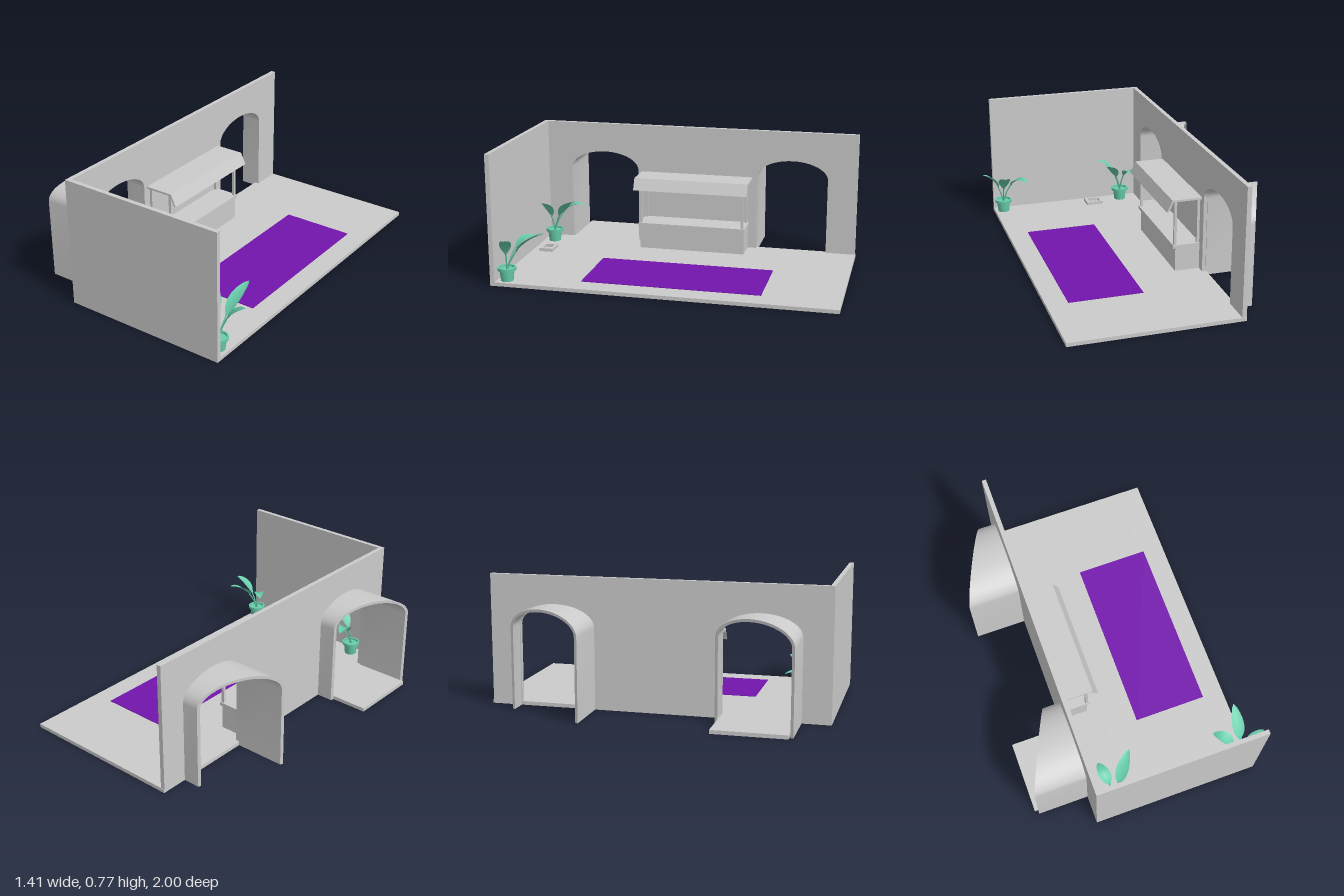
import * as THREE from 'three';
import { toCreasedNormals } from 'three/addons/utils/BufferGeometryUtils.js';

const grey = new THREE.MeshStandardMaterial({ color: 0xcccccc });
const purple = new THREE.MeshStandardMaterial({ color: 0x7315ad });
const green = new THREE.MeshStandardMaterial({ color: 0x66cdaa, side: THREE.DoubleSide });

const FLOOR = 0.022, WALL_H = 0.77, SPRING = 0.48;

function add(parent, name, geometry, material = grey) {
  const mesh = new THREE.Mesh(geometry, material);
  mesh.name = name;
  parent.add(mesh);
  return mesh;
}

// box given by its lower and upper limits
function box(parent, name, x0, x1, y0, y1, z0, z1, material) {
  const m = add(parent, name, new THREE.BoxGeometry(x1 - x0, y1 - y0, z1 - z0), material);
  m.position.set((x0 + x1) / 2, (y0 + y1) / 2, (z0 + z1) / 2);
  return m;
}

// points of an arch over a doorway, from its left foot over the top to its right foot
function archPoints(c, half, rise, foot) {
  const pts = [new THREE.Vector2(c - half, foot)];
  for (let i = 0; i <= 24; i++) {
    const a = Math.PI * (1 - i / 24);
    pts.push(new THREE.Vector2(c + half * Math.cos(a), SPRING + rise * Math.sin(a)));
  }
  pts.push(new THREE.Vector2(c + half, foot));
  return pts;
}

// extrude a (z, y) outline towards -x
function extrudeX(shape, depth) {
  const g = new THREE.ExtrudeGeometry(shape, { depth, bevelEnabled: false });
  return g.rotateY(-Math.PI / 2);
}

// vaulted passage whose outer end is cut off at a slant
function passage(parent, name, c) {
  const outer = 0.234, inner = 0.2175;
  const shape = new THREE.Shape([
    ...archPoints(c, outer, 0.126, 0),
    ...archPoints(c, inner, 0.11, 0).reverse(),
  ]);
  const g = extrudeX(shape, 1);
  const p = g.attributes.position;
  for (let i = 0; i < p.count; i++) {
    const t = (p.getZ(i) - c + outer) / (2 * outer);
    p.setX(i, -0.495 + p.getX(i) * (0.102 + 0.208 * t));
  }
  add(parent, name, toCreasedNormals(g, 0.5));
}

// leaf strip folded along its midrib; r, y = tip, cr, cy = bend of the stalk
function leafGeometry(r, y, cr, cy, width) {
  const curve = new THREE.QuadraticBezierCurve(
    new THREE.Vector2(0, 0.07), new THREE.Vector2(cr, cy), new THREE.Vector2(r, y));
  const pos = [], idx = [], n = 18;
  for (let i = 0; i <= n; i++) {
    const t = i / n, p = curve.getPoint(t), d = curve.getTangent(t);
    const b = Math.max(0, (t - 0.36) / 0.64);
    const w = i === n ? 0.0005 : 0.004 + width * Math.pow(Math.sin(Math.PI * Math.pow(b, 0.85)), 0.8);
    for (const s of [-1, 0, 1]) {
      const lift = s ? w * 0.3 : 0;
      pos.push(p.x - d.y * lift, p.y + d.x * lift, s * w);
    }
    if (i < n) for (const k of [0, 1]) {
      const a = i * 3 + k;
      idx.push(a, a + 1, a + 3, a + 1, a + 4, a + 3);
    }
  }
  const g = new THREE.BufferGeometry();
  g.setAttribute('position', new THREE.Float32BufferAttribute(pos, 3));
  g.setIndex(idx);
  g.computeVertexNormals();
  return g;
}

function pottedPlant(name, x, z, turn) {
  const plant = new THREE.Group();
  plant.name = name;
  plant.position.set(x, FLOOR, z);
  plant.rotation.y = -turn;
  // pot with a thick rim and soil inside
  const profile = [[0, 0], [0.036, 0], [0.043, 0.062], [0.053, 0.062], [0.054, 0.08],
    [0.044, 0.08], [0.043, 0.068], [0, 0.068]].map(([a, b]) => new THREE.Vector2(a, b));
  add(plant, 'pot', toCreasedNormals(new THREE.LatheGeometry(profile, 20), 0.5), green);
  // direction in degrees, tip radius, tip height, bend radius, bend height, half width
  const leaves = [
    [-136, 0.195, 0.225, 0.08, 0.28, 0.03],
    [-85, 0.245, 0.302, 0.07, 0.24, 0.032],
    [-19, 0.145, 0.275, 0.035, 0.23, 0.03],
  ];
  for (const [deg, ...dims] of leaves) {
    const a = THREE.MathUtils.degToRad(deg);
    add(plant, 'leaf', leafGeometry(...dims), green).rotation.y = -a;
    // round stalk
    const [r, y, cr, cy] = dims;
    const path = new THREE.QuadraticBezierCurve3(new THREE.Vector3(0, 0.06, 0),
      new THREE.Vector3(cr * 0.45, cy * 0.6, 0),
      new THREE.Vector3(2 * 0.24 * cr + 0.16 * r, 0.36 * 0.07 + 0.48 * cy + 0.16 * y, 0));
    add(plant, 'stalk', new THREE.TubeGeometry(path, 8, 0.004, 6), green).rotation.y = -a;
  }
  return plant;
}

function bar() {
  const g = new THREE.Group();
  g.name = 'bar';
  box(g, 'counter', -0.475, -0.325, 0.002, 0.166, -0.325, 0.33);
  box(g, 'counterTop', -0.475, -0.31, 0.166, 0.186, -0.33, 0.335);
  for (const x of [-0.465, -0.325]) for (const z of [-0.315, 0.322]) {
    box(g, 'post', x - 0.008, x + 0.008, 0.186, 0.465, z - 0.008, z + 0.008);
  }
  // canopy: flat roof with a sloping front
  const s = new THREE.Shape([[-0.475, 0.475], [-0.475, 0.463], [-0.302, 0.463], [-0.274, 0.405],
    [-0.262, 0.405], [-0.295, 0.475]].map(([a, b]) => new THREE.Vector2(a, b)));
  const canopy = add(g, 'canopy', new THREE.ExtrudeGeometry(s, { depth: 0.705, bevelEnabled: false }));
  canopy.position.z = -0.35;
  return g;
}

export function createModel() {
  const model = new THREE.Group();
  model.name = 'room';
  const room = new THREE.Group();
  room.name = 'building';
  room.position.x = 0.11;
  room.rotation.y = 0.01;
  model.add(room);

  box(room, 'floor', -0.5, 0.5, 0, FLOOR, -0.995, 0.99);
  box(room, 'frontWall', -0.5, 0.5, 0, WALL_H, 0.967, 0.993);
  box(room, 'rug', -0.06, 0.375, FLOOR, FLOOR + 0.003, -0.55, 0.49, purple);

  // side wall with two arched doorways
  const wall = new THREE.Shape([[-0.992, 0], [0.98, 0], [0.98, WALL_H], [-0.992, WALL_H]]
    .map(([a, b]) => new THREE.Vector2(a, b)));
  for (const c of [-0.595, 0.595]) wall.holes.push(new THREE.Path(archPoints(c, 0.2175, 0.11, FLOOR)));
  add(room, 'sideWall', toCreasedNormals(extrudeX(wall, 0.026), 0.5)).position.x = -0.474;

  passage(room, 'backPassage', -0.6);
  passage(room, 'frontPassage', 0.593);
  box(room, 'passageFloor', -0.825, -0.49, 0, FLOOR, 0.378, 0.805);

  room.add(bar());

  // low open tray on the floor
  const tray = new THREE.Shape([[-0.055, -0.043], [0.055, -0.043], [0.055, 0.043], [-0.055, 0.043]]
    .map(([a, b]) => new THREE.Vector2(a, b)));
  tray.holes.push(new THREE.Path([[-0.037, -0.028], [-0.037, 0.028], [0.037, 0.028], [0.037, -0.028]]
    .map(([a, b]) => new THREE.Vector2(a, b))));
  const trayMesh = add(model, 'tray', new THREE.ExtrudeGeometry(tray, { depth: 0.02, bevelEnabled: false })
    .rotateX(-Math.PI / 2));
  trayMesh.position.set(-0.045, FLOOR, 0.878);

  model.add(pottedPlant('leftPlant', 0.565, 0.905, 0));
  model.add(pottedPlant('rightPlant', -0.235, 0.905, 0.58));
  return model;
}
